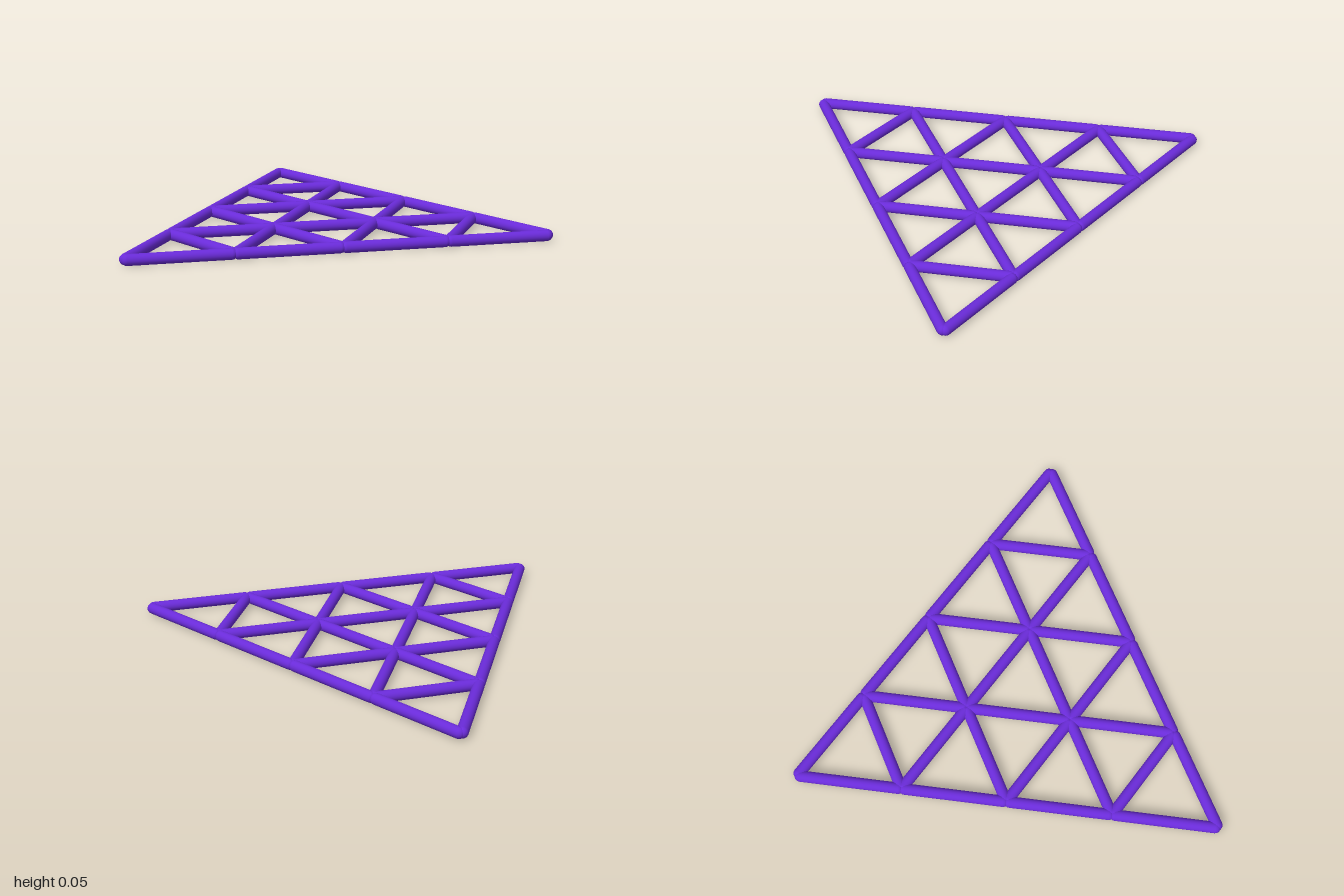
import * as THREE from 'three';

export function createModel() {
  const group = new THREE.Group();
  group.name = 'triangularLattice';

  const rows = 4;                       // cells along each side
  const side = 0.491;                   // distance between neighbouring nodes
  const step = side * Math.sqrt(3) / 2; // distance between rows
  const radius = 0.0265;
  const inset = 0.015;                  // round ends are centred just short of the nodes

  const material = new THREE.MeshStandardMaterial({ color: 0x6a2bd9 });
  const rodGeometry = new THREE.CapsuleGeometry(radius, side - 2 * inset, 5, 20);
  const up = new THREE.Vector3(0, 1, 0);

  // Node j of row k; rows shrink towards the tip at +x
  const node = (k, j) => new THREE.Vector3(
    (k - rows / 2) * step, radius, (j - (rows - k) / 2) * side);

  function addRod(name, a, b) {
    const rod = new THREE.Mesh(rodGeometry, material);
    rod.name = name;
    rod.position.copy(a).add(b).multiplyScalar(0.5);
    rod.quaternion.setFromUnitVectors(up, b.clone().sub(a).normalize());
    group.add(rod);
  }

  // Each cell pointing to the tip contributes its three rods
  for (let k = 0; k < rows; k++) {
    for (let j = 0; j < rows - k; j++) {
      const a = node(k, j), b = node(k, j + 1), tip = node(k + 1, j);
      addRod('crossRod', a, b);
      addRod('leftDiagonalRod', a, tip);
      addRod('rightDiagonalRod', b, tip);
    }
  }
  return group;
}
